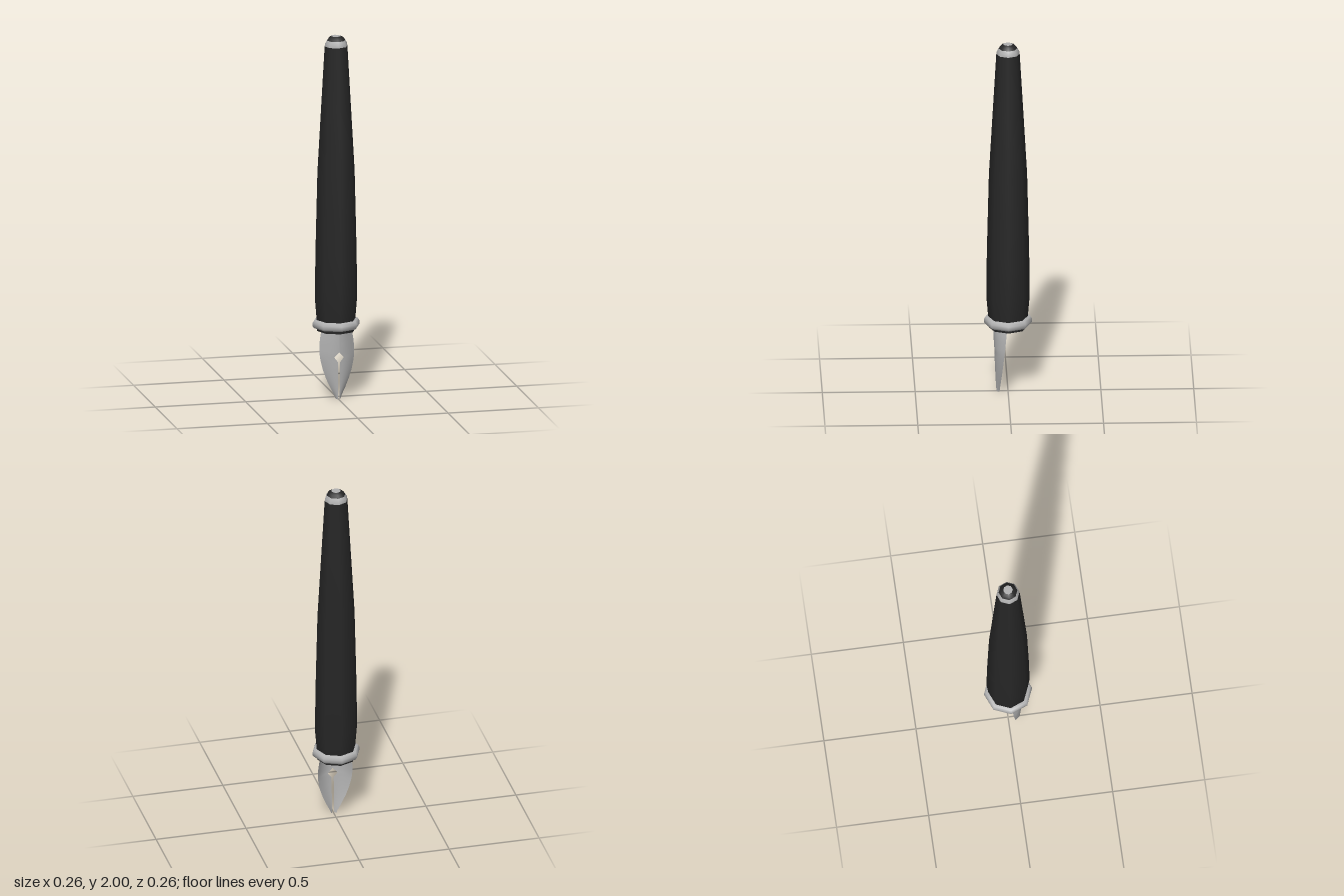
import * as THREE from 'three';

const black = new THREE.MeshStandardMaterial({ color: 0x262626 });
black.name = 'black';
const silver = new THREE.MeshStandardMaterial({ color: 0xb0b0b0 });
silver.name = 'silver';
const silverSheet = silver.clone();
silverSheet.side = THREE.DoubleSide;

// Eight-sided turned part; profile runs bottom to top as [radius, y]
function turned(name, material, profile) {
  const points = profile.map(([r, y]) => new THREE.Vector2(r, y));
  const mesh = new THREE.Mesh(new THREE.LatheGeometry(points, 8), material);
  mesh.name = name;
  return mesh;
}

// One half of the nib: a curved sheet between the slit and the outer edge
function nibHalf(side) {
  // [y, slit half width, outer half width]
  const rows = [
    [0, 0.005, 0.013], [0.02, 0.005, 0.021], [0.06, 0.005, 0.041], [0.11, 0.006, 0.063],
    [0.16, 0.006, 0.08], [0.208, 0.006, 0.091], [0.235, 0.027, 0.095],
    [0.262, 0, 0.096], [0.31, 0, 0.094], [0.345, 0, 0.089], [0.39, 0, 0.078],
  ];
  const columns = 6;
  const positions = [], index = [];
  for (const [y, inner, outer] of rows) {
    const t = y / 0.39;
    const ridge = THREE.MathUtils.lerp(0.064, 0.081, t);
    const edge = THREE.MathUtils.lerp(0.046, 0.006, t);
    for (let i = 0; i <= columns; i++) {
      const x = THREE.MathUtils.lerp(inner, outer, i / columns);
      const z = ridge - (ridge - edge) * (x / outer) ** 2;
      positions.push(side * x, y, z);
    }
  }
  const w = columns + 1;
  for (let r = 0; r < rows.length - 1; r++) {
    for (let i = 0; i < columns; i++) {
      const a = r * w + i, b = a + 1, c = a + w, d = c + 1;
      if (side > 0) index.push(a, b, d, a, d, c);
      else index.push(a, d, b, a, c, d);
    }
  }
  const geometry = new THREE.BufferGeometry();
  geometry.setAttribute('position', new THREE.Float32BufferAttribute(positions, 3));
  geometry.setIndex(index);
  geometry.computeVertexNormals();
  const mesh = new THREE.Mesh(geometry, silverSheet);
  mesh.name = side > 0 ? 'nibLeft' : 'nibRight';
  return mesh;
}

export function createModel() {
  const pen = new THREE.Group();
  pen.name = 'fountainPen';

  // Tapered barrel and its flat underside
  pen.add(turned('barrel', black, [
    [0.106, 0.37], [0.107, 0.43], [0.117, 0.55], [0.114, 0.8],
    [0.103, 1.25], [0.083, 1.6], [0.063, 1.945],
  ]));
  pen.add(turned('barrelBase', black, [[0, 0.37], [0.106, 0.37]]));

  // Rounded collar above the nib
  pen.add(turned('collar', silver, [
    [0.1, 0.384], [0.122, 0.387], [0.13, 0.398], [0.13, 0.415], [0.121, 0.43], [0.1, 0.432],
  ]));

  // End band, dark shoulder and bright button
  pen.add(turned('endBand', silver, [[0.063, 1.945], [0.06, 1.962], [0.051, 1.977]]));
  pen.add(turned('endShoulder', black, [[0.051, 1.977], [0.041, 1.991], [0.026, 2]]));
  pen.add(turned('endButton', silver, [[0.026, 2], [0, 2]]));

  // Split nib with a diamond breather hole
  const nib = new THREE.Group();
  nib.name = 'nib';
  nib.add(nibHalf(1), nibHalf(-1));
  pen.add(nib);

  return pen;
}
